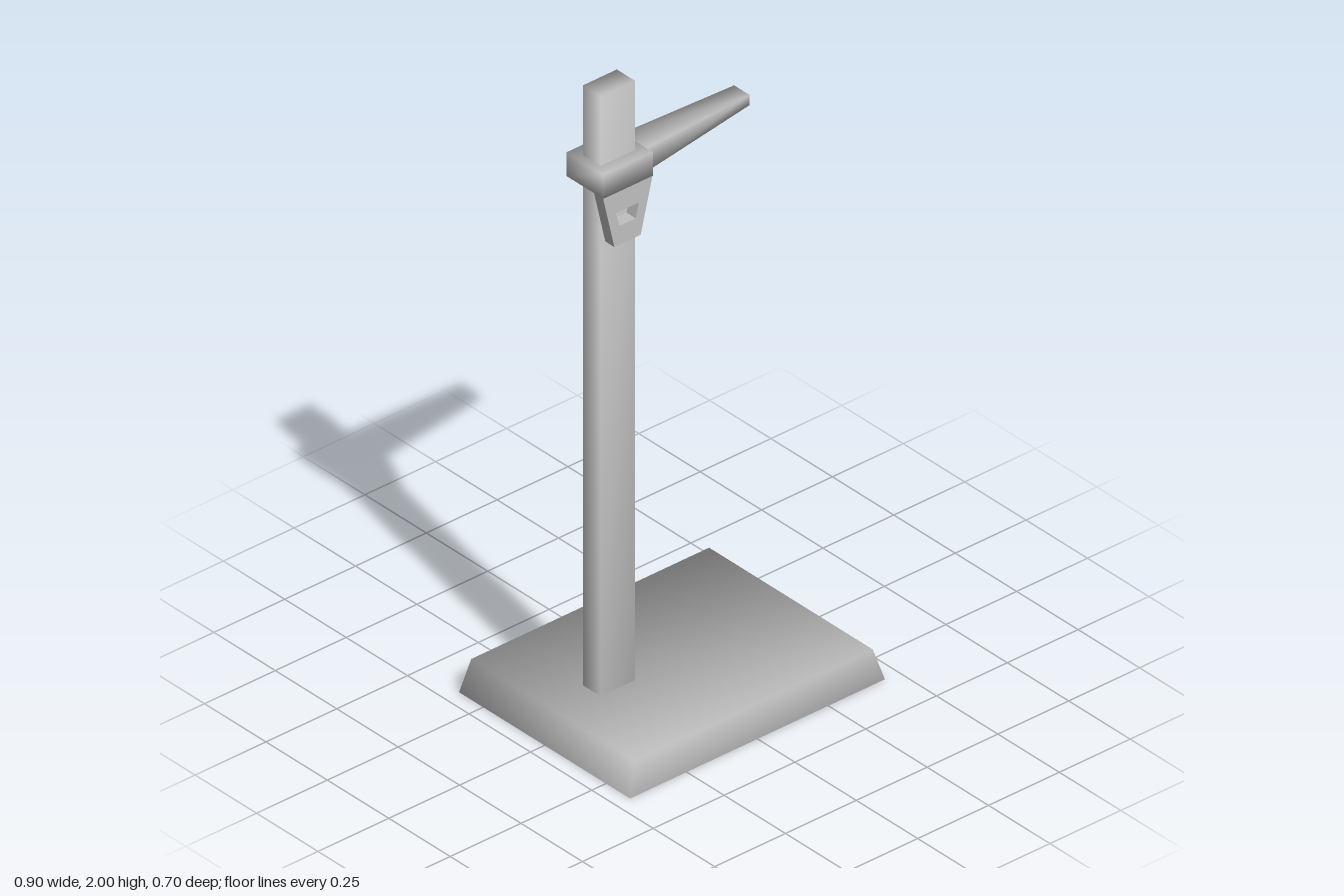
import * as THREE from 'three';

const grey = new THREE.MeshStandardMaterial({ color: 0xc0c0c0, side: THREE.DoubleSide });
grey.name = 'plain grey';

// Six-sided block with shared corners and soft corner normals.
// corner(i, j, k) returns the position for the low (0) or high (1) end of x, y, z.
function block(name, corner, openBottom = false) {
  const pos = [], nor = [];
  for (let n = 0; n < 8; n++) {
    const i = n & 1, j = (n >> 1) & 1, k = n >> 2;
    pos.push(...corner(i, j, k));
    const dir = new THREE.Vector3(i * 2 - 1, openBottom && !j ? 0 : j * 2 - 1, k * 2 - 1);
    nor.push(...dir.normalize().toArray());
  }
  const faces = [[1, 3, 7, 5], [0, 4, 6, 2], [2, 6, 7, 3], [4, 5, 7, 6], [0, 2, 3, 1]];
  if (!openBottom) faces.push([0, 1, 5, 4]);
  const geo = new THREE.BufferGeometry();
  geo.setAttribute('position', new THREE.Float32BufferAttribute(pos, 3));
  geo.setAttribute('normal', new THREE.Float32BufferAttribute(nor, 3));
  geo.setIndex(faces.flatMap(([a, b, c, d]) => [a, b, c, a, c, d]));
  const mesh = new THREE.Mesh(geo, grey);
  mesh.name = name;
  return mesh;
}

export function createModel() {
  const group = new THREE.Group();
  group.name = 'stand';

  // Hollow tapered foot, open underneath
  group.add(block('base', (i, j, k) => [
    (i * 2 - 1) * (j ? 0.42 : 0.45), j * 0.1, (k * 2 - 1) * (j ? 0.333 : 0.348),
  ], true));

  // Upright post
  group.add(block('post', (i, j, k) => [
    i ? -0.16 : -0.28, j ? 2 : 0.1, k ? 0.033 : -0.04,
  ], true));

  // Sliding collar around the post
  group.add(block('collar', (i, j, k) => [
    i ? -0.13 : -0.305, j ? 1.78 : 1.705, k ? 0.072 : -0.078,
  ]));

  // Tapered arm, flat on top
  group.add(block('arm', (i, j, k) => [
    i ? 0.25 : -0.13,
    j ? 1.78 : (i ? 1.748 : 1.705),
    k ? (i ? 0.028 : 0.046) : (i ? -0.035 : -0.052),
  ]));

  // Tapered front plate with a small window onto the post
  const trapezoid = (Type, top, bottom, l0, r0, l1, r1) => new Type([
    [l1, bottom], [r1, bottom], [r0, top], [l0, top],
  ].map(([x, y]) => new THREE.Vector2(x, y)));
  const outline = trapezoid(THREE.Shape, 1.706, 1.535, -0.305, -0.13, -0.265, -0.172);
  outline.holes.push(trapezoid(THREE.Path, 1.64, 1.595, -0.26, -0.178, -0.247, -0.19));
  const plate = new THREE.Mesh(
    new THREE.ExtrudeGeometry(outline, { depth: 0.037, bevelEnabled: false }), grey);
  plate.position.z = 0.034;
  plate.name = 'frontPlate';
  group.add(plate);

  return group;
}
